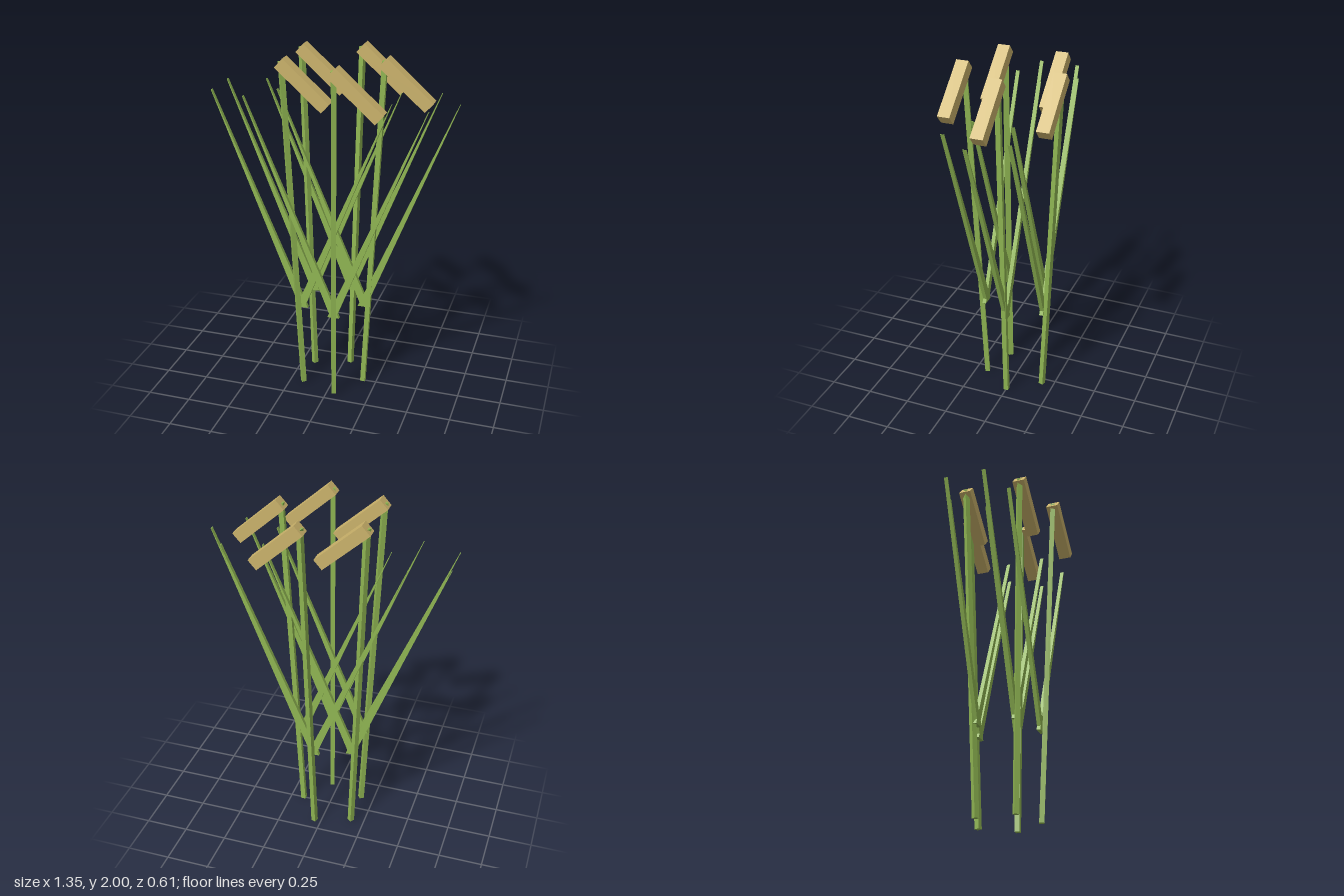
import * as THREE from 'three';

const green = new THREE.MeshStandardMaterial({ color: 0x8fb552 });
green.name = 'reed green';
const straw = new THREE.MeshStandardMaterial({ color: 0xcbb36b });
straw.name = 'straw yellow';

const CENTRE = -0.018;      // x of the ring the stalks grow from
const BASE_RADIUS = 0.188;
const TOP_RADIUS = 0.285;
const STALK_TOP = 1.975;
const LEAF_BASE = 0.51;
const LEAF_TIP = 1.775;

function addMesh(parent, geometry, material, name) {
  const mesh = new THREE.Mesh(geometry, material);
  mesh.name = name;
  parent.add(mesh);
  return mesh;
}

// Leaning wedge: flat foot near the stalk, narrowing to a sharp edge
function leafGeometry(side) {
  const geometry = new THREE.BoxGeometry(1, 1, 0.022);
  const p = geometry.attributes.position;
  for (let i = 0; i < p.count; i++) {
    const top = p.getY(i) > 0;
    const middle = top ? side * 0.504 : side * -0.01;
    p.setX(i, middle + p.getX(i) * (top ? 0.003 : 0.05));
    p.setY(i, top ? LEAF_TIP : LEAF_BASE);
  }
  geometry.computeVertexNormals();
  return geometry;
}

export function createModel() {
  const model = new THREE.Group();
  model.name = 'reeds';

  for (let k = 0; k < 5; k++) {
    const angle = (k * Math.PI * 2) / 5;
    const reed = new THREE.Group();
    reed.name = 'reed' + (k + 1);
    model.add(reed);
    const c = Math.cos(angle), s = Math.sin(angle);
    const baseX = CENTRE + BASE_RADIUS * c, baseZ = BASE_RADIUS * s;
    const topX = CENTRE + TOP_RADIUS * c, topZ = TOP_RADIUS * s;

    // Square stalk leaning outward
    const lean = Math.atan2(TOP_RADIUS - BASE_RADIUS, STALK_TOP);
    const length = STALK_TOP / Math.cos(lean);
    const stalk = addMesh(reed, new THREE.BoxGeometry(0.028, length, 0.028), green, 'stalk');
    stalk.position.set((baseX + topX) / 2, STALK_TOP / 2, (baseZ + topZ) / 2);
    stalk.rotation.set(0, -angle, -lean, 'YXZ');

    // Drooping seed head
    const head = addMesh(reed, new THREE.BoxGeometry(0.339, 0.068, 0.07), straw, 'seedHead');
    head.position.set(topX + 0.123, 1.8625, topZ);
    head.rotation.z = -0.726;

    // Pair of leaves spreading left and right
    for (const side of [1, -1]) {
      const leaf = addMesh(reed, leafGeometry(side), green, side > 0 ? 'leftLeaf' : 'rightLeaf');
      leaf.position.set(baseX, 0, baseZ);
    }
  }
  return model;
}
